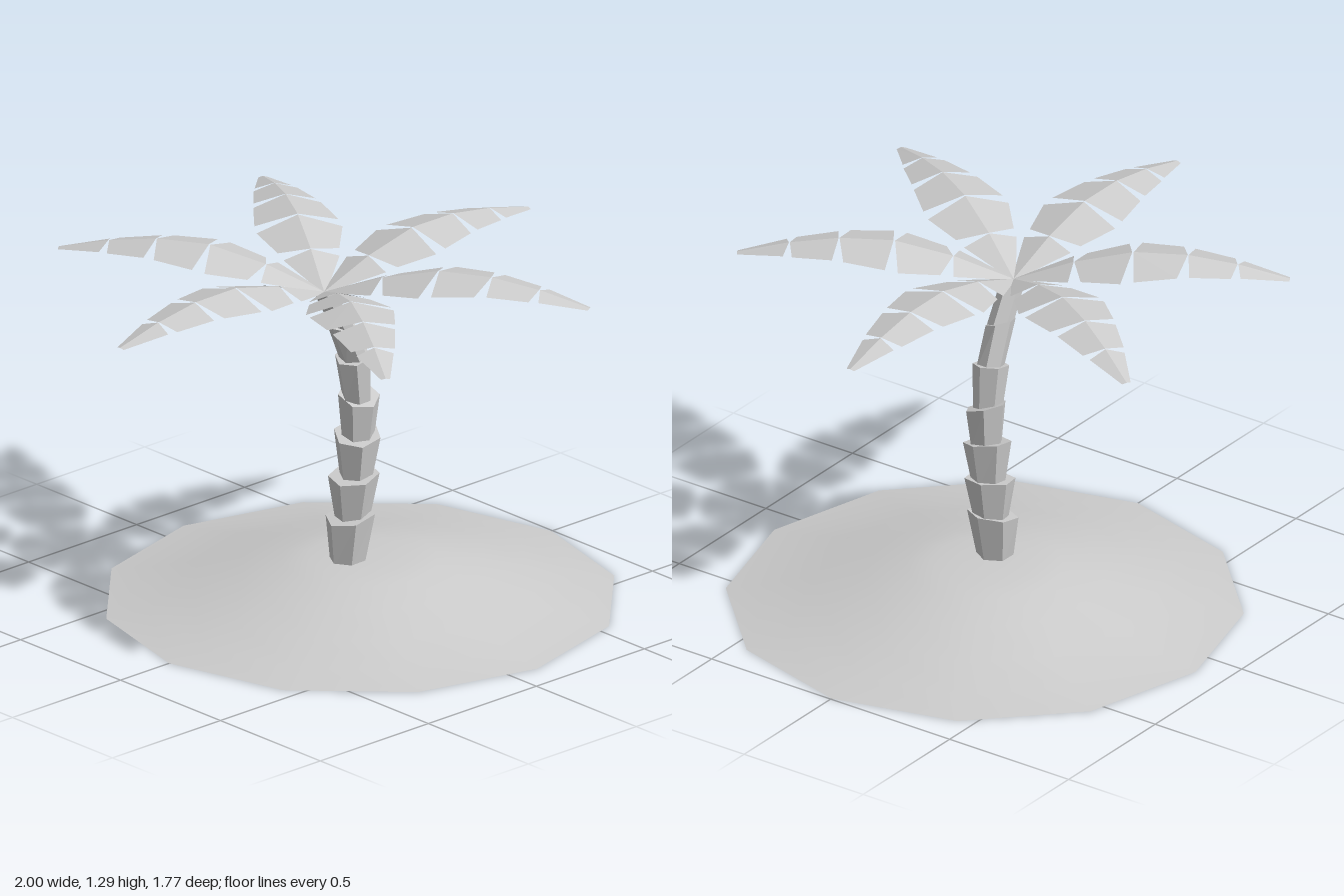
import * as THREE from 'three';

const flat = new THREE.MeshStandardMaterial({ color: 0xcccccc, flatShading: true, side: THREE.DoubleSide });
const smooth = new THREE.MeshStandardMaterial({ color: 0xcccccc, side: THREE.DoubleSide });

function addMesh(parent, name, geometry, material) {
  const mesh = new THREE.Mesh(geometry, material);
  mesh.name = name;
  parent.add(mesh);
  return mesh;
}

// Flared six-sided trunk piece, sheared from its base to its slanted top
function trunkSegment([bx, by, br, tx, ty, tr, slopeX, slopeZ, twist]) {
  const geo = new THREE.CylinderGeometry(1, 1, 1, 6);
  geo.rotateY(Math.PI / 6 + twist);
  const p = geo.attributes.position;
  for (let i = 0; i < p.count; i++) {
    const top = p.getY(i) > 0;
    const r = top ? tr : br;
    const dx = p.getX(i) * r, dz = p.getZ(i) * r;
    const y = top ? ty + slopeX * dx + slopeZ * dz : by;
    p.setXYZ(i, (top ? tx : bx) + dx, y, dz);
  }
  geo.computeVertexNormals();
  return geo;
}

// Height of the frond's ridge at distance r from the crown
const ridge = [[0, 1.165], [0.2, 1.24], [0.41, 1.29], [0.59, 1.29], [0.77, 1.262], [0.945, 1.218]];
function ridgeHeight(r) {
  let i = 1;
  while (i < ridge.length - 1 && r > ridge[i][0]) i++;
  const [r0, y0] = ridge[i - 1], [r1, y1] = ridge[i];
  return y0 + (y1 - y0) * (r - r0) / (r1 - r0);
}

// Roof-shaped leaflet pair: ridge from r0 to r1, edge from (e0, w0) to (e1, w1)
function leafSegment([r0, r1, e0, w0, e1, w1]) {
  const point = (r, w) => [r, ridgeHeight(r) - Math.abs(w) * 0.27, w];
  const corners = [
    point(r0, 0), point(r1, 0),
    point(e0, w0), point(e1, w1),
    point(e0, -w0), point(e1, -w1),
  ].flat();
  const geo = new THREE.BufferGeometry();
  geo.setAttribute('position', new THREE.Float32BufferAttribute(corners, 3));
  geo.setIndex([0, 2, 3, 0, 3, 1, 0, 1, 5, 0, 5, 4]);
  geo.computeVertexNormals();
  return geo;
}

export function createModel() {
  const model = new THREE.Group();
  model.name = 'palmIsland';

  // Low mound of sand, open underneath
  const profile = [
    [0.885, 0], [0.74, 0.024], [0.58, 0.064], [0.41, 0.109],
    [0.27, 0.142], [0.18, 0.154], [0.08, 0.158], [0, 0.159],
  ].map(([r, y]) => new THREE.Vector2(r, y));
  addMesh(model, 'island', new THREE.LatheGeometry(profile, 12), smooth).position.x = 0.11;

  // Curved trunk: base x, y, radius; top x, y, radius; top slopes; twist
  const trunk = new THREE.Group();
  trunk.name = 'trunk';
  model.add(trunk);
  const turn = Math.PI / 6;
  [
    [0.05, 0.14, 0.061, 0.064, 0.316, 0.088, 0.21, 0.03, 0],
    [0.073, 0.305, 0.06, 0.08, 0.459, 0.088, 0.16, -0.05, turn / 2],
    [0.09, 0.445, 0.057, 0.096, 0.605, 0.083, 0.18, -0.2, 0],
    [0.1, 0.59, 0.056, 0.104, 0.745, 0.073, 0.1, -0.35, turn],
    [0.093, 0.73, 0.05, 0.075, 0.893, 0.063, 0.2, -0.1, 0],
    [0.08, 0.88, 0.048, 0.018, 1.033, 0.052, 0.05, -0.35, turn / 2],
    [0.024, 1.02, 0.044, -0.055, 1.163, 0.042, 0, 0, 0],
  ].forEach((row, i) => addMesh(trunk, 'trunkSegment' + (i + 1), trunkSegment(row), flat));

  // Six fronds around the crown, each split into five leaf segments
  const leaves = [
    [0, 0.205, 0.005, 0.01, 0.195, 0.098],
    [0.207, 0.405, 0.24, 0.107, 0.38, 0.15],
    [0.41, 0.595, 0.425, 0.147, 0.57, 0.118],
    [0.598, 0.765, 0.61, 0.108, 0.75, 0.076],
    [0.768, 0.945, 0.782, 0.065, 0.943, 0.016],
  ].map(leafSegment);
  for (let k = 0; k < 6; k++) {
    const frond = new THREE.Group();
    frond.name = 'frond' + (k + 1);
    frond.position.x = -0.057;
    frond.rotation.y = k * Math.PI / 3;
    leaves.forEach((geo, i) => addMesh(frond, 'leafSegment' + (i + 1), geo, flat));
    model.add(frond);
  }
  return model;
}
